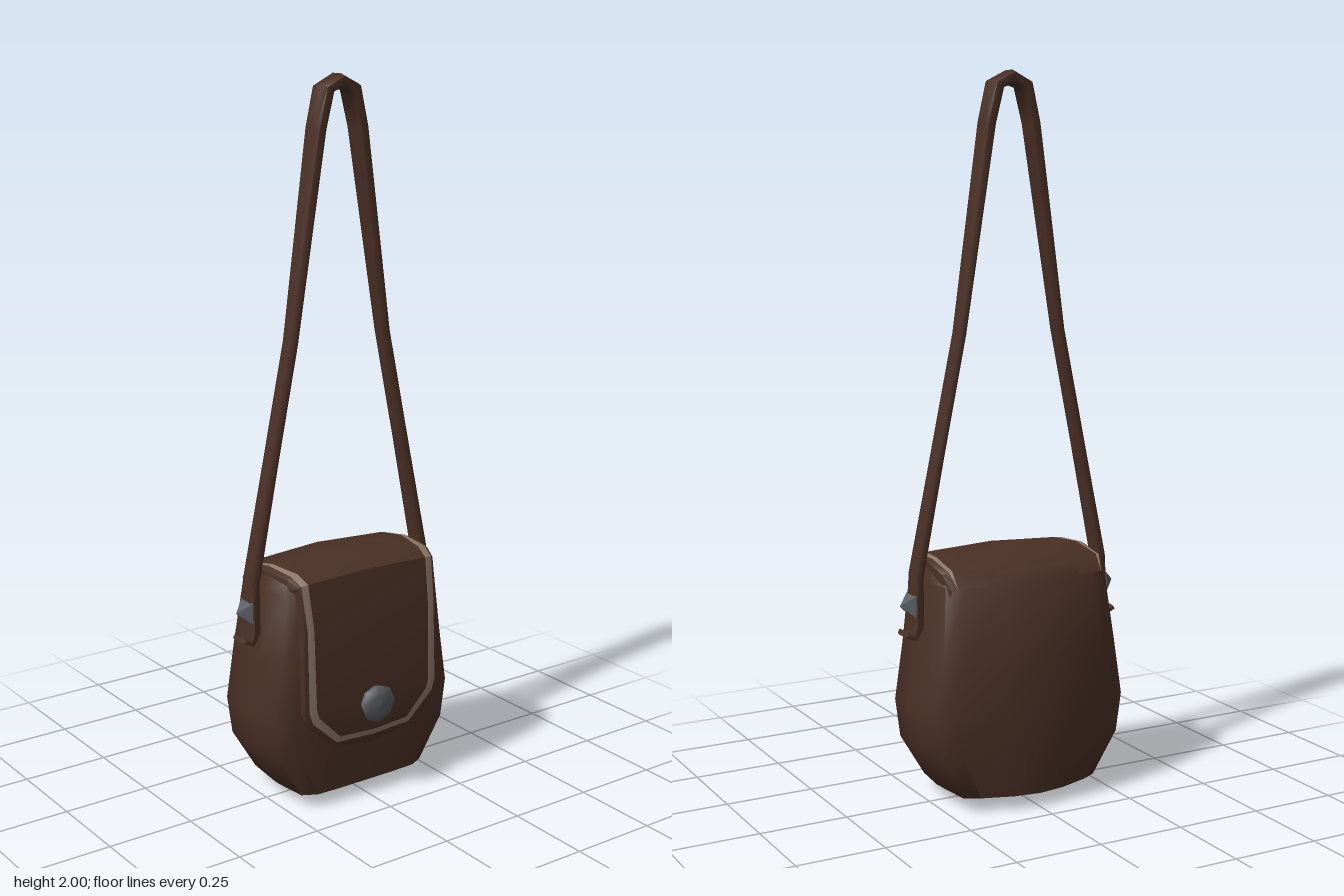
import * as THREE from 'three';
import { toCreasedNormals } from 'three/addons/utils/BufferGeometryUtils.js';

// Skin equal-length rows of [x, y, z] points; kind(col) picks the material slot
function skin(rows, { closed = false, flip = false, kind = () => 0, crease = 1 } = {}) {
  const n = rows[0].length, cols = closed ? n : n - 1;
  const slots = [[], []];
  for (let i = 0; i < rows.length - 1; i++) {
    for (let j = 0; j < cols; j++) {
      const k = (j + 1) % n;
      const a = i * n + j, b = i * n + k, c = (i + 1) * n + k, d = (i + 1) * n + j;
      slots[kind(j)].push(...(flip ? [a, d, c, a, c, b] : [a, b, c, a, c, d]));
    }
  }
  const g = new THREE.BufferGeometry();
  g.setAttribute('position', new THREE.Float32BufferAttribute(rows.flat(2), 3));
  g.setIndex([...slots[0], ...slots[1]]);
  g.addGroup(0, slots[0].length, 0);
  if (slots[1].length) g.addGroup(slots[0].length, slots[1].length, 1);
  return toCreasedNormals(g, crease);
}

function add(parent, name, geometry, material) {
  const mesh = new THREE.Mesh(geometry, material);
  mesh.name = name;
  parent.add(mesh);
  return mesh;
}

// Pouch: one plan outline scaled at each height, closed to a point at both ends
function pouchGeometry() {
  const half = [[0, 1], [0.4, 1], [0.76, 0.98], [0.95, 0.82], [1, 0.1],
    [0.985, -0.17], [0.94, -0.66], [0.75, -0.78], [0.35, -0.94], [0, -1]];
  const plan = [...half, ...half.slice(1, -1).reverse().map(([x, z]) => [-x, z])];
  // height, half width, front depth, back depth
  const levels = [
    [0.04, 0.22, 0.14, 0.187], [0.16, 0.295, 0.146, 0.2], [0.27, 0.31, 0.148, 0.205],
    [0.43, 0.285, 0.147, 0.2], [0.63, 0.265, 0.135, 0.16], [0.665, 0.25, 0.115, 0.125],
  ];
  const rings = levels.map(([y, w, f, b]) => plan.map(([x, z]) => [x * w, y, z * (z > 0 ? f : b)]));
  const tip = (y) => plan.map(() => [0, y, 0]);
  return skin([tip(0), ...rings, tip(0.675)], { closed: true, crease: 1.1 });
}

// Flap: rows from the back edge over the top and down to the front tip
function flapGeometry() {
  // rim, trim outside, trim inside, centre, then skirt offset in y and z
  const rows = [
    [[0.24, 0.62, -0.125], [0.225, 0.63, -0.13], [0.224, 0.63, -0.13], [0, 0.625, -0.156], -0.03, 0.02],
    [[0.25, 0.662, -0.09], [0.236, 0.67, -0.1], [0.226, 0.672, -0.1], [0, 0.683, -0.105], -0.03, 0],
    [[0.25, 0.68, 0], [0.236, 0.688, 0], [0.222, 0.69, 0], [0, 0.705, 0], -0.035, 0],
    [[0.24, 0.675, 0.1], [0.23, 0.683, 0.1], [0.206, 0.685, 0.1], [0, 0.695, 0.1], -0.035, 0],
    [[0.228, 0.66, 0.138], [0.222, 0.664, 0.139], [0.2, 0.665, 0.14], [0, 0.672, 0.142], -0.02, -0.025],
    [[0.226, 0.54, 0.158], [0.216, 0.54, 0.16], [0.195, 0.54, 0.161], [0, 0.54, 0.163], 0, -0.035],
    [[0.23, 0.3, 0.166], [0.217, 0.305, 0.169], [0.193, 0.31, 0.17], [0, 0.3, 0.172], 0, -0.035],
    [[0.217, 0.262, 0.166], [0.206, 0.272, 0.169], [0.185, 0.284, 0.17], [0, 0.26, 0.172], 0, -0.035],
    [[0.13, 0.185, 0.164], [0.125, 0.197, 0.168], [0.115, 0.213, 0.17], [0, 0.212, 0.171], 0, -0.035],
    [[0, 0.165, 0.163], [0, 0.191, 0.168], [0, 0.206, 0.17], [0, 0.206, 0.17], 0, -0.035],
  ].map(([rim, outer, inner, centre, dy, dz]) => {
    const side = [[rim[0], rim[1] + dy, rim[2] + dz], rim, outer, inner];
    return [...side.map(([x, y, z]) => [-x, y, z]), centre, ...side.reverse()];
  });
  return skin(rows, { flip: true, kind: (j) => (j === 2 || j === 5 ? 1 : 0), crease: 0.9 });
}

// Strap: a flat eight-sided section swept along a symmetrical path
function strapGeometry() {
  // x, y, half width across z, half thickness
  const half = [
    [0.328, 0.492, 0.03, 0.008], [0.305, 0.481, 0.034, 0.01], [0.292, 0.51, 0.036, 0.013],
    [0.29, 0.57, 0.032, 0.014], [0.288, 0.65, 0.027, 0.015], [0.222, 0.97, 0.024, 0.014],
    [0.153, 1.3, 0.023, 0.014], [0.068, 1.86, 0.033, 0.016], [0.043, 1.962, 0.034, 0.018],
    [0, 1.981, 0.035, 0.019],
  ];
  const path = [...half, ...half.slice(0, -1).reverse().map(([x, ...r]) => [-x, ...r])];
  const section = [[1, 0.55], [0.65, 1], [-0.65, 1], [-1, 0.55], [-1, -0.55], [-0.65, -1], [0.65, -1], [1, -0.55]];
  const rings = path.map(([x, y, w, t], i) => {
    const p = path[Math.max(i - 1, 0)], q = path[Math.min(i + 1, path.length - 1)];
    const len = Math.hypot(q[0] - p[0], q[1] - p[1]);
    const nx = (q[1] - p[1]) / len, ny = -(q[0] - p[0]) / len;
    return section.map(([u, v]) => [x + nx * u * t, y + ny * u * t, -0.006 - v * w]);
  });
  const cap = ([x, y]) => section.map(() => [x, y, -0.006]);
  return skin([cap(path[0]), ...rings, cap(path.at(-1))], { closed: true, crease: 1.2 });
}

export function createModel() {
  const leather = new THREE.MeshStandardMaterial({ color: 0x4a3025 });
  leather.name = 'dark brown leather';
  const trim = new THREE.MeshStandardMaterial({ color: 0x8f786b });
  trim.name = 'pale trim';
  const metal = new THREE.MeshStandardMaterial({ color: 0x5a5d62 });
  metal.name = 'grey metal';

  const bag = new THREE.Group();
  bag.name = 'shoulderBag';
  add(bag, 'pouch', pouchGeometry(), leather);
  add(bag, 'flap', flapGeometry(), [leather, trim]);
  add(bag, 'strap', strapGeometry(), leather);

  // Domed clasp on the front of the flap
  const dome = [[0.045, 0], [0.055, 0.025], [0.03, 0.034], [0, 0.037]].map(([r, h]) => new THREE.Vector2(r, h));
  const clasp = add(bag, 'clasp', new THREE.LatheGeometry(dome, 8), metal);
  clasp.rotation.x = Math.PI / 2;
  clasp.position.set(0, 0.29, 0.168);

  // Pyramid studs holding the strap ends
  for (const side of [1, -1]) {
    const cone = new THREE.ConeGeometry(0.042, 0.036, 4).rotateY(Math.PI / 4).rotateZ(-side * Math.PI / 2);
    const stud = add(bag, side > 0 ? 'leftStud' : 'rightStud', toCreasedNormals(cone, 0.3), metal);
    stud.position.set(side * 0.32, 0.568, -0.006);
  }
  return bag;
}
